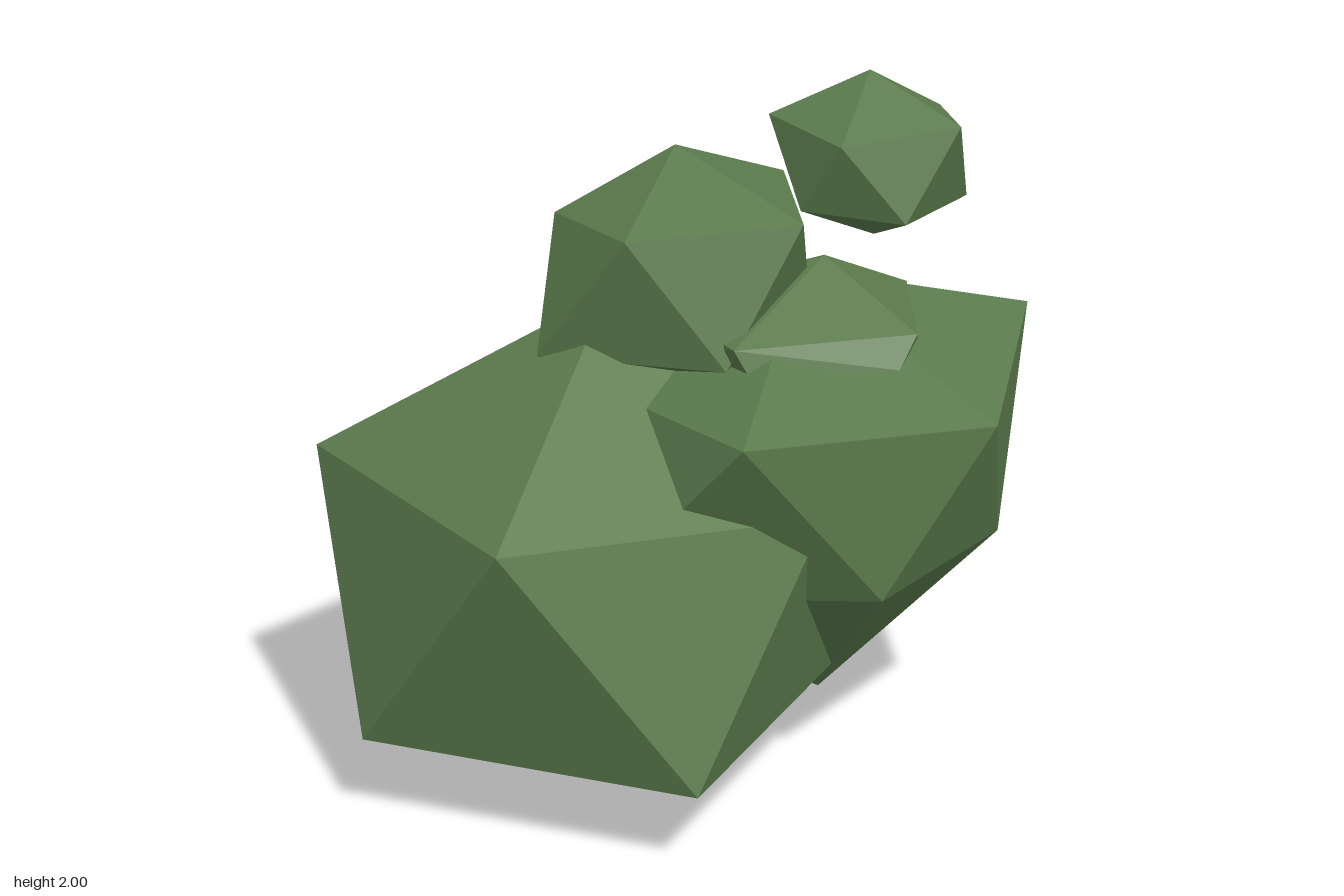
import * as THREE from 'three';
import { ConvexGeometry } from 'three/addons/geometries/ConvexGeometry.js';

// Each lump is an irregular icosahedron: a top, two staggered rings of five, and a bottom.
const LUMPS = {
  frontBush: {
    top: [-0.06, 1.42, 0.16],
    upper: [[0.69, 0.935, 0.17], [0.2, 0.97, 0.97], [-0.73, 0.96, 0.65], [-0.64, 0.95, -0.26], [0.15, 0.95, -0.5]],
    lower: [[0.62, 0.265, 0.65], [-0.32, 0.27, 0.945], [-0.98, 0.235, 0.16], [-0.285, 0.335, -0.515], [0.5, 0.33, -0.25]],
    bottom: [-0.07, 0, 0.16],
  },
  backBush: {
    top: [0.32, 1.46, -0.24],
    upper: [[0.975, 1.14, -0.24], [0.626, 1.21, 0.467], [-0.2, 1.17, 0.2], [-0.196, 1.14, -0.675], [0.635, 1.225, -0.97]],
    lower: [[0.817, 0.685, 0.07], [0.12, 0.65, 0.468], [-0.25, 0.65, -0.25], [0.16, 0.58, -0.97], [0.817, 0.685, -0.54]],
    bottom: [0.41, 0.185, -0.235],
  },
  middleClump: {
    top: [0, 1.805, -0.075],
    upper: [[0.437, 1.655, -0.075], [0.135, 1.65, 0.333], [-0.265, 1.61, 0.135], [-0.265, 1.575, -0.25], [0.12, 1.665, -0.435]],
    lower: [[0.365, 1.285, 0.18], [-0.144, 1.275, 0.37], [-0.36, 1.32, -0.075], [-0.13, 1.29, -0.495], [0.3, 1.3, -0.32]],
    bottom: [0.02, 1.1, -0.07],
  },
  flatClump: {
    top: [0.39, 1.513, -0.25],
    upper: [[0.725, 1.36, -0.215], [0.4, 1.36, 0.195], [0.05, 1.36, 0.03], [0.08, 1.36, -0.44], [0.45, 1.355, -0.59]],
    lower: [[0.725, 1.28, -0.13], [0.45, 1.275, 0.178], [0.1, 1.25, 0.05], [0.1, 1.25, -0.4], [0.6, 1.26, -0.42]],
    bottom: [0.38, 1.18, -0.2],
  },
  topClump: {
    top: [0.39, 2, -0.46],
    upper: [[0.69, 1.885, -0.463], [0.476, 1.85, -0.194], [0.167, 1.873, -0.29], [0.18, 1.875, -0.615], [0.474, 1.86, -0.7]],
    lower: [[0.63, 1.635, -0.29], [0.335, 1.64, -0.21], [0.165, 1.65, -0.46], [0.296, 1.64, -0.722], [0.615, 1.635, -0.63]],
    bottom: [0.425, 1.53, -0.447],
  },
};

export function createModel() {
  const model = new THREE.Group();
  model.name = 'bush';
  const leafGreen = new THREE.MeshStandardMaterial({ color: 0x5a7a4c });
  leafGreen.name = 'leafGreen';

  // Wrap every lump's corners in a faceted hull
  for (const [name, { top, upper, lower, bottom }] of Object.entries(LUMPS)) {
    const corners = [top, ...upper, ...lower, bottom].map((p) => new THREE.Vector3(...p));
    const lump = new THREE.Mesh(new ConvexGeometry(corners), leafGreen);
    lump.name = name;
    model.add(lump);
  }
  return model;
}
